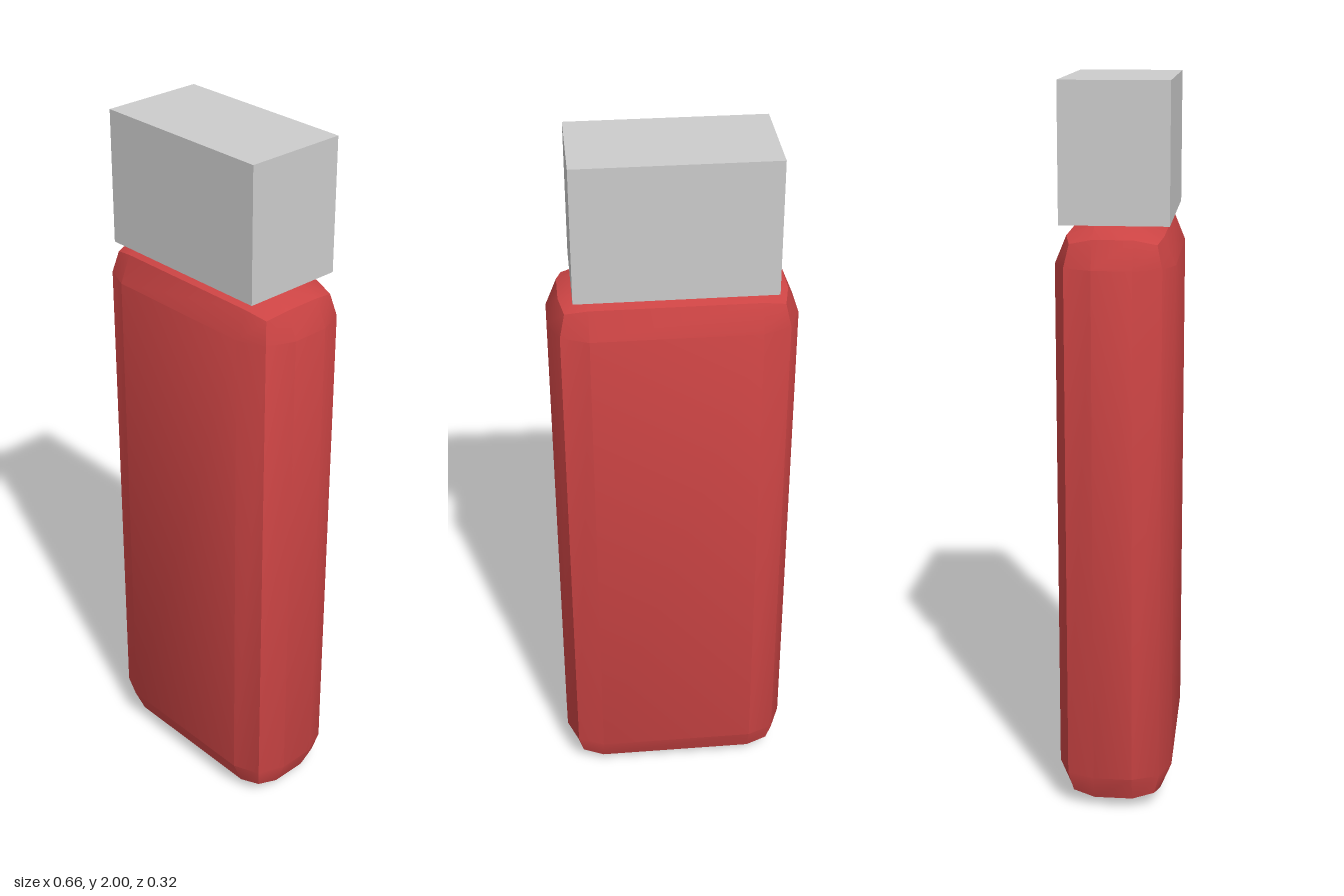
import * as THREE from 'three';
import { toCreasedNormals } from 'three/addons/utils/BufferGeometryUtils.js';
import { RoundedBoxGeometry } from 'three/addons/geometries/RoundedBoxGeometry.js';

const BODY = { width: 0.658, height: 1.636, depth: 0.316, bevel: 0.105 };
const PLUG = { width: 0.526, depth: 0.287 };
const TOTAL_HEIGHT = 2;

export function createModel() {
  const red = new THREE.MeshStandardMaterial({ color: 0xcc4444 });
  red.name = 'red casing';
  const grey = new THREE.MeshStandardMaterial({ color: 0xcccccc });
  grey.name = 'grey metal';

  const model = new THREE.Group();
  model.name = 'memoryStick';

  // Casing: two-step bevel, shaded smooth up to the crease along each edge
  const bodyGeometry = toCreasedNormals(
    new RoundedBoxGeometry(BODY.width, BODY.height, BODY.depth, 1, BODY.bevel),
    Math.PI / 6
  );
  const body = new THREE.Mesh(bodyGeometry, red);
  body.name = 'casing';
  body.position.y = BODY.height / 2;
  model.add(body);

  // Metal connector standing on the casing
  const plugHeight = TOTAL_HEIGHT - BODY.height;
  const plug = new THREE.Mesh(new THREE.BoxGeometry(PLUG.width, plugHeight, PLUG.depth), grey);
  plug.name = 'connector';
  plug.position.y = BODY.height + plugHeight / 2;
  model.add(plug);

  return model;
}
